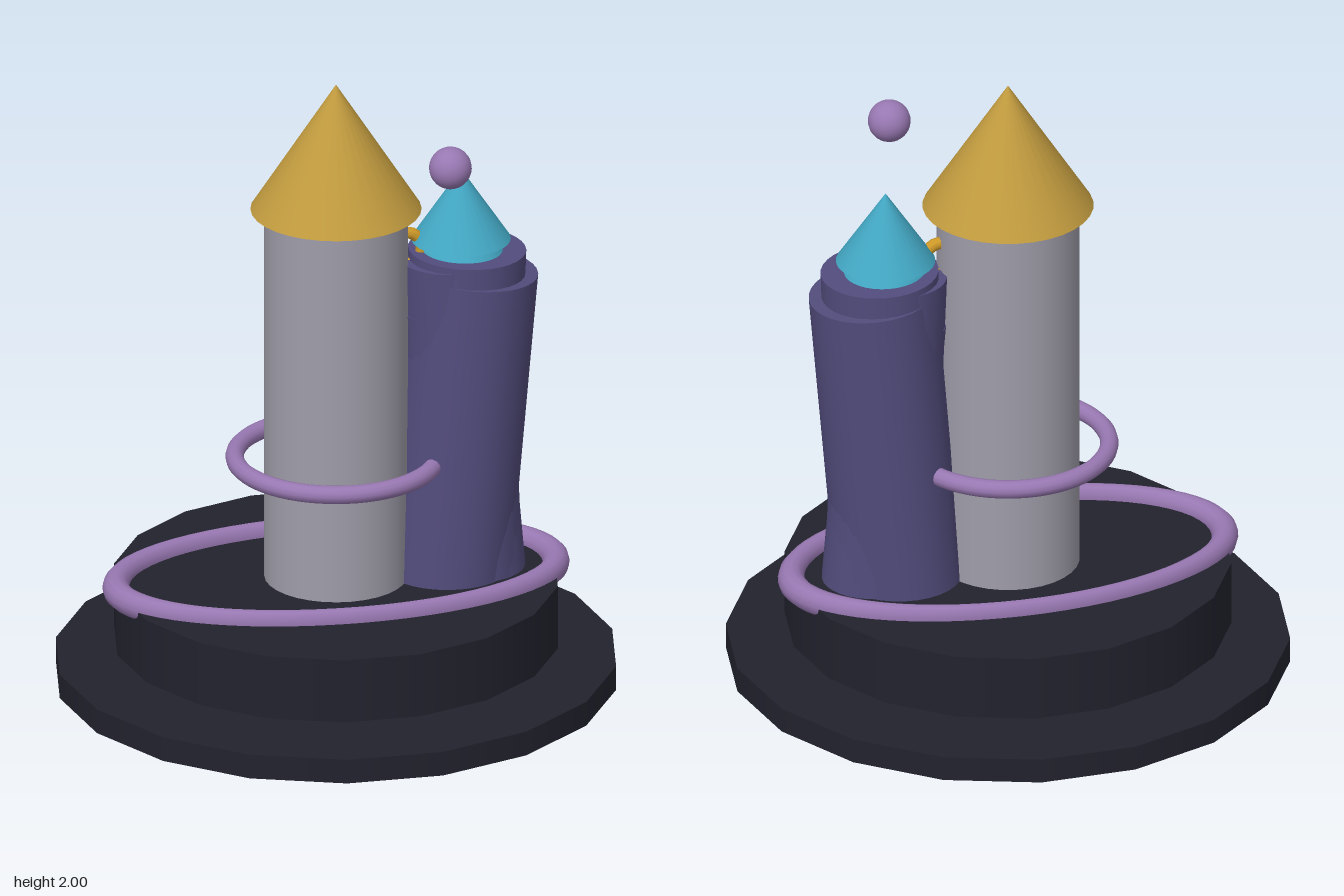
import * as THREE from 'three';

const mat = (name, color) => {
  const m = new THREE.MeshStandardMaterial({ color });
  m.name = name;
  return m;
};

export function createModel() {
  const model = new THREE.Group();
  model.name = 'twinTowers';

  const dark = mat('darkStone', 0x22222e);
  const grey = mat('greyStone', 0x9f9da9);
  const gold = mat('gold', 0xc09a3e);
  const indigo = mat('indigoStone', 0x524c7c);
  const cyan = mat('cyanRoof', 0x42a6c2);
  const lilac = mat('lilac', 0x9878b2);
  const amber = mat('amber', 0xcf9a28);

  const add = (name, geometry, material, x, y, z = 0) => {
    const mesh = new THREE.Mesh(geometry, material);
    mesh.name = name;
    mesh.position.set(x, y, z);
    model.add(mesh);
    return mesh;
  };

  // Upright cylinder or cone between two heights
  const column = (name, material, rBottom, rTop, y0, y1, x = 0, sides = 32) =>
    add(name, new THREE.CylinderGeometry(rTop, rBottom, y1 - y0, sides), material, x, (y0 + y1) / 2);

  // Horizontal ring, optionally squashed along z
  const ring = (name, radius, tube, y, depth = 1) => {
    const geometry = new THREE.TorusGeometry(radius, tube, 12, 64).rotateX(Math.PI / 2).scale(1, 1, depth);
    return add(name, geometry, lilac, 0, y);
  };

  // Two separate floating plinth discs
  column('basePlate', dark, 0.884, 0.884, 0, 0.08, 0, 18).rotation.y = Math.PI / 2;
  column('upperPlinth', dark, 0.70, 0.70, 0.13, 0.34, 0, 18).rotation.y = Math.PI / 2;

  // Main tower and roof
  column('mainTower', grey, 0.225, 0.225, 0.34, 1.6);
  column('mainRoof', gold, 0.268, 0, 1.58, 2.0);

  // Crooked tower: overlapping shafts leaning both ways about one pivot
  const pivotY = 0.84;
  const shafts = [
    { r: 0.2, top: 0.50, bottom: -0.55, lean: -0.087 },
    { r: 0.158, top: 0.39, bottom: -0.6, lean: 0.087 },
    { r: 0.185, top: 0.57, bottom: -0.5, lean: -0.035 },
    { r: 0.172, top: 0.555, bottom: -0.5, lean: 0.04 },
  ];
  shafts.forEach(({ r, top, bottom, lean }, i) => {
    const geometry = new THREE.CylinderGeometry(r, r, top - bottom, 32).translate(0, (top + bottom) / 2, 0);
    add(`crookedShaft${i + 1}`, geometry, indigo, 0.4, pivotY).rotation.z = lean;
  });

  // Two-tier roof of the crooked tower
  column('lowerSmallRoof', cyan, 0.135, 0, 1.4, 1.6, 0.4);
  column('upperSmallRoof', cyan, 0.156, 0, 1.445, 1.68, 0.4);

  // Amber loop wedged between the towers
  add('amberLoop', new THREE.TorusGeometry(0.055, 0.02, 8, 16), amber, 0.22, 1.425);

  // Rings and floating orb
  ring('groundRing', 0.70, 0.043, 0.343, 0.54);
  ring('towerRing', 0.317, 0.029, 0.742);
  add('orb', new THREE.SphereGeometry(0.067, 24, 16), lilac, 0.31, 1.795, 0.258);

  return model;
}
